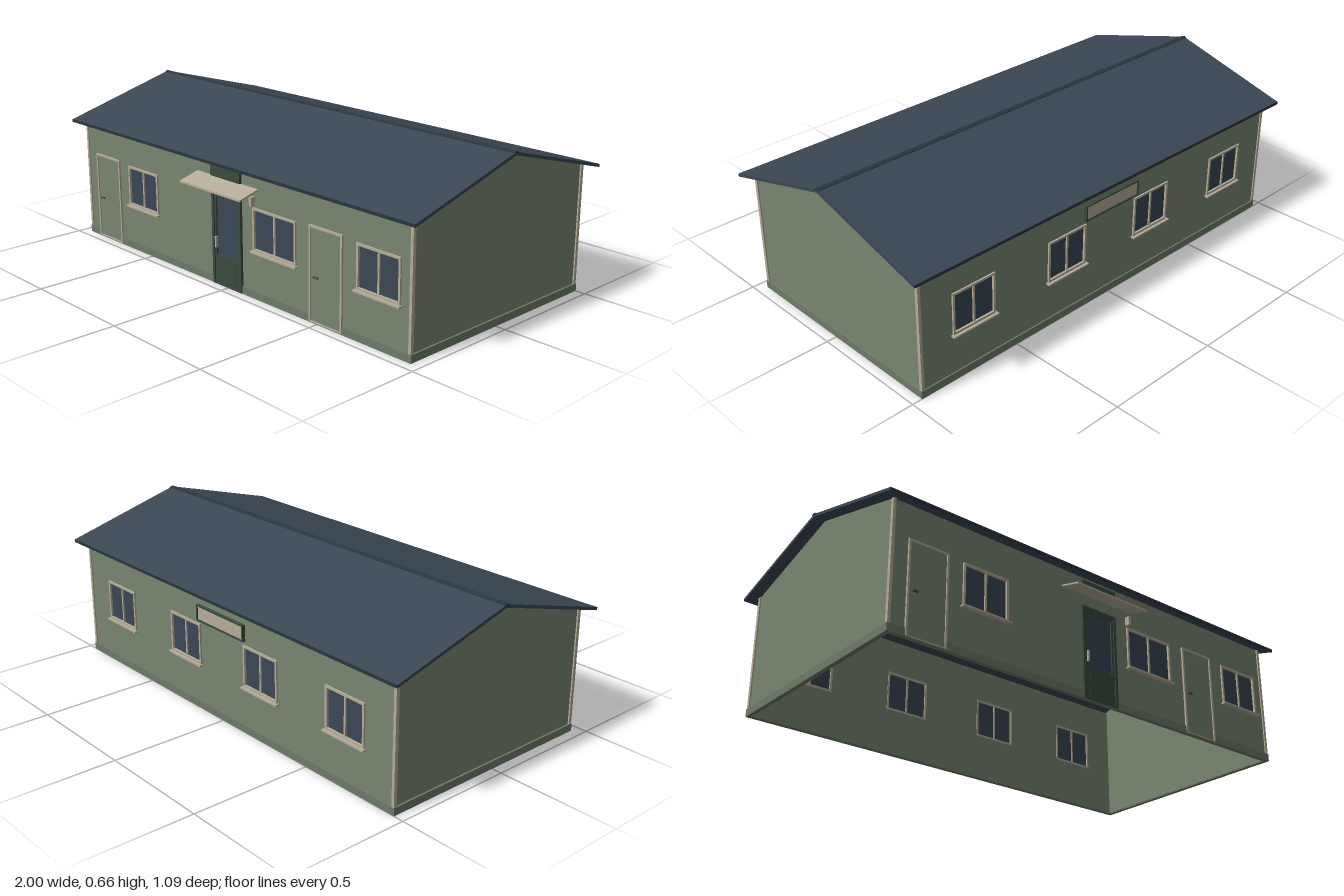
import * as THREE from 'three';

const mat = (name, color) => {
  const m = new THREE.MeshStandardMaterial({ color });
  m.name = name;
  return m;
};

export function createModel() {
  const wallGreen = mat('wall green', 0x788571);
  const plinthGreen = mat('plinth green', 0x6e7a67);
  const roofBlue = mat('roof slate blue', 0x3a4753);
  const ridgeDark = mat('ridge dark blue', 0x2c353e);
  const beige = mat('trim beige', 0xb5ad99);
  const darkGreen = mat('dark green', 0x394a3d);
  const glassBlue = mat('glass blue', 0x3a4755);
  const metal = mat('handle grey', 0x4c5148);

  const FRONT = 0.455, BACK = -0.495, SIDE = 0.95, T = 0.012, RIDGE = -0.02;
  const model = new THREE.Group();
  model.name = 'house';

  const add = (parent, name, geometry, material, x = 0, y = 0, z = 0) => {
    const m = new THREE.Mesh(geometry, material);
    m.name = name;
    m.position.set(x, y, z);
    parent.add(m);
    return m;
  };
  // Box given by its limits on each axis
  const box = (parent, name, material, x0, x1, y0, y1, z0, z1) =>
    add(parent, name, new THREE.BoxGeometry(x1 - x0, y1 - y0, z1 - z0), material,
      (x0 + x1) / 2, (y0 + y1) / 2, (z0 + z1) / 2);
  const poly = (pts, Type = THREE.Shape) => new Type(pts.map(p => new THREE.Vector2(...p)));
  const rect = (x0, x1, y0, y1, Type) => poly([[x0, y0], [x1, y0], [x1, y1], [x0, y1]], Type);
  const extrude = (shape, depth) => new THREE.ExtrudeGeometry(shape, { depth, bevelEnabled: false });
  const frame = (parent, name, material, x0, x1, y0, y1, w, z0, z1, wBottom = w) => {
    const s = rect(x0, x1, y0, y1);
    s.holes.push(rect(x0 + w, x1 - w, y0 + wBottom, y1 - w, THREE.Path));
    return add(parent, name, extrude(s, z1 - z0), material, 0, 0, z0);
  };
  // Profile listed as [z, y], swept along x
  const sweepX = (name, material, pts, x0, x1) => {
    const m = add(model, name, extrude(poly(pts.map(([z, y]) => [-z, y])), x1 - x0), material, x0);
    m.rotation.y = Math.PI / 2;
    return m;
  };

  // Long walls are built facing +z with the outside at local z = 0
  const longWall = (name, z, turned, openings) => {
    const g = new THREE.Group();
    g.name = name;
    g.position.z = z;
    if (turned) g.rotation.y = Math.PI;
    model.add(g);
    const s = rect(-SIDE, SIDE, 0.004, 0.512);
    openings.forEach(o => s.holes.push(rect(...o, THREE.Path)));
    add(g, name + 'Panel', extrude(s, T), wallGreen, 0, 0, -T);
    return g;
  };

  const addWindow = (g, x0, x1, y0 = 0.195, y1 = 0.367) => {
    const w = new THREE.Group(), mid = (x0 + x1) / 2;
    w.name = 'window';
    g.add(w);
    frame(w, 'windowFrame', beige, x0, x1, y0, y1, 0.009, -0.014, 0.007);
    box(w, 'windowMullion', beige, mid - 0.004, mid + 0.004, y0 + 0.008, y1 - 0.008, -0.012, 0.004);
    box(w, 'windowGlass', glassBlue, x0 + 0.008, x1 - 0.008, y0 + 0.008, y1 - 0.008, -0.008, -0.002);
    box(w, 'windowSill', beige, x0 - 0.007, x1 + 0.007, y0 - 0.007, y0, -0.002, 0.018);
  };

  const addDoor = (g, x0, x1) => {
    const d = new THREE.Group();
    d.name = 'sideDoor';
    g.add(d);
    frame(d, 'doorFrame', beige, x0, x1, 0.004, 0.376, 0.008, -0.014, 0.008, 0.004);
    box(d, 'doorLeaf', wallGreen, x0 + 0.007, x1 - 0.007, 0.007, 0.369, -0.01, 0.003);
    box(d, 'doorHandle', metal, x0 + 0.022, x0 + 0.046, 0.178, 0.184, 0.003, 0.011);
  };

  // Front wall with doors and windows
  const windowsF = [[-0.65, -0.447], [0.15, 0.388], [0.697, 0.903]];
  const doorsF = [[-0.885, -0.715], [0.46, 0.628]];
  const E = [-0.088, 0.084];
  const hole = ([a, b], y0, y1) => [a + 0.004, b - 0.004, y0, y1];
  const front = longWall('frontWall', FRONT, false, [
    ...windowsF.map(w => hole(w, 0.199, 0.363)),
    ...doorsF.map(d => hole(d, 0.008, 0.372)),
    hole(E, 0.008, 0.38)]);
  windowsF.forEach(w => addWindow(front, ...w));
  doorsF.forEach(d => addDoor(front, ...d));

  // Glazed entrance
  const entrance = new THREE.Group();
  entrance.name = 'entrance';
  front.add(entrance);
  frame(entrance, 'entranceFrame', darkGreen, E[0], E[1], 0.002, 0.385, 0.012, -0.014, 0.011, 0.006);
  frame(entrance, 'entranceLeaf', darkGreen, -0.077, 0.073, 0.007, 0.374, 0.011, -0.011, 0.006, 0.116);
  box(entrance, 'entranceGlass', glassBlue, -0.068, 0.064, 0.12, 0.365, -0.006, 0);
  box(entrance, 'entranceRail', darkGreen, -0.077, 0.073, 0.118, 0.126, -0.002, 0.009);
  box(entrance, 'entranceKickPanel', darkGreen, -0.055, 0.051, 0.025, 0.105, 0.004, 0.008);
  box(entrance, 'entranceHandle', beige, -0.069, -0.061, 0.155, 0.2, 0.004, 0.014);
  box(entrance, 'entranceSignBoard', darkGreen, E[0], E[1], 0.445, 0.494, 0, 0.013);

  // Sloping canopy and small lamp
  sweepX('canopy', beige, [[0.455, 0.437], [0.543, 0.412], [0.545, 0.418], [0.455, 0.443]], -0.183, 0.178);
  sweepX('canopyLip', beige, [[0.538, 0.411], [0.545, 0.411], [0.545, 0.419], [0.538, 0.42]], -0.183, 0.178);
  box(front, 'lamp', beige, 0.147, 0.16, 0.374, 0.41, 0, 0.02);

  // Back wall with four windows and a framed board
  const windowsB = [-0.705, -0.237, 0.237, 0.705].map(x => [x - 0.1, x + 0.1]);
  const back = longWall('backWall', BACK, true, windowsB.map(w => hole(w, 0.199, 0.363)));
  windowsB.forEach(w => addWindow(back, ...w));
  frame(back, 'boardFrame', darkGreen, -0.147, 0.147, 0.383, 0.45, 0.006, 0, 0.014);
  box(back, 'boardPanel', beige, -0.142, 0.142, 0.388, 0.445, 0, 0.009);

  // Gable walls, corner trims and plinth
  for (const s of [-1, 1]) {
    const x = s * (SIDE - T / 2), side = s > 0 ? 'left' : 'right';
    sweepX(side + 'GableWall', wallGreen,
      [[FRONT, 0.004], [FRONT, 0.514], [RIDGE, 0.648], [BACK, 0.514], [BACK, 0.004]], x - T / 2, x + T / 2);
    for (const [z, d] of [[FRONT, 1], [BACK, -1]]) {
      const zc = z - d * 0.002;
      box(model, 'cornerTrim', beige, s * SIDE - 0.006, s * SIDE + 0.006, 0.03, 0.513, zc - 0.007, zc + 0.007);
    }
    box(model, side + 'Plinth', plinthGreen, s * 0.949 - 0.009, s * 0.949 + 0.009, 0, 0.031, BACK - 0.006, FRONT + 0.006);
  }
  box(model, 'backPlinth', plinthGreen, -0.94, 0.94, 0, 0.031, BACK - 0.006, BACK + 0.012);
  [[-0.94, -0.885], [-0.715, E[0]], [E[1], 0.46], [0.628, 0.94]].forEach(([a, b]) =>
    box(model, 'frontPlinth', plinthGreen, a, b, 0, 0.031, FRONT - 0.012, FRONT + 0.006));
  [...doorsF, E].forEach(([a, b]) =>
    box(model, 'threshold', plinthGreen, a, b, 0, 0.005, FRONT - 0.012, FRONT + 0.006));

  // Roof slabs, eaves edging and ridge cap
  for (const d of [1, -1]) {
    const z = v => RIDGE + d * v;
    const pts = [[z(0), 0.646], [z(0.52), 0.503], [z(0.52), 0.515], [z(0), 0.659]];
    sweepX(d > 0 ? 'frontRoof' : 'backRoof', roofBlue, pts, -0.998, 0.998);
    box(model, 'eavesEdge', ridgeDark, -0.998, 0.998, 0.503, 0.515,
      Math.min(z(0.519), z(0.522)), Math.max(z(0.519), z(0.522)));
  }
  sweepX('ridgeCap', ridgeDark,
    [[RIDGE - 0.012, 0.655], [RIDGE + 0.012, 0.655], [RIDGE + 0.012, 0.658], [RIDGE, 0.662], [RIDGE - 0.012, 0.658]], -1, 1);

  return model;
}
